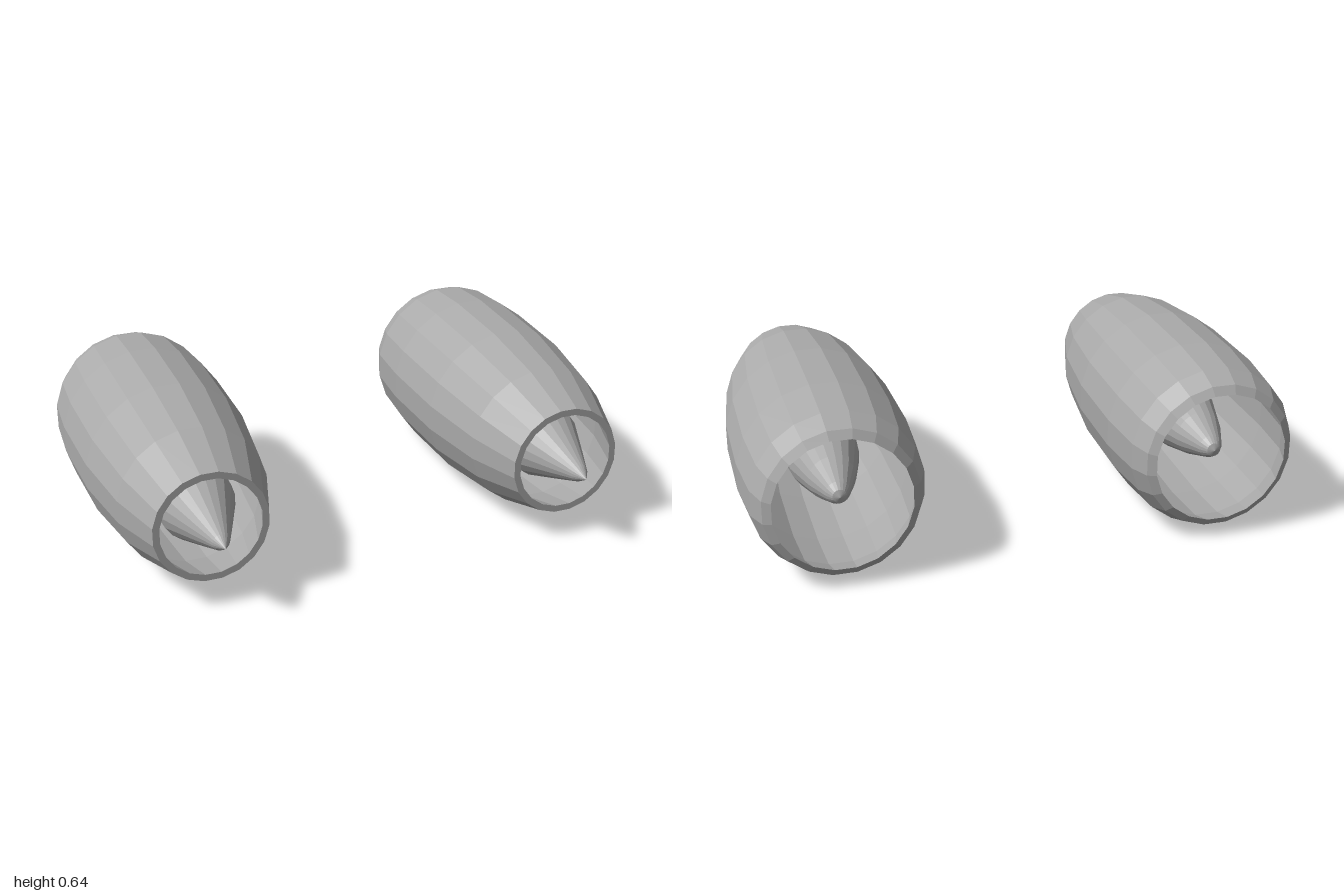
import * as THREE from 'three';

const SIDES = 20;

// Faceted solid of revolution about z, from [z, radius] points
function turned(profile, sides, material, name) {
  const points = profile.map(([z, r]) => new THREE.Vector2(r, z));
  const geometry = new THREE.LatheGeometry(points, sides, Math.PI / sides).rotateX(Math.PI / 2).toNonIndexed();
  geometry.computeVertexNormals();
  const mesh = new THREE.Mesh(geometry, material);
  mesh.name = name;
  return mesh;
}

export function createModel() {
  const model = new THREE.Group();
  model.name = 'enginePair';
  const grey = new THREE.MeshStandardMaterial({ color: 0xaaaaaa });
  grey.name = 'metal grey';

  // Hollow casing: outside from the rear lip forward, then back along the inner wall
  const casing = [
    [-0.66, 0.245], [-0.64, 0.275], [-0.56, 0.305], [-0.35, 0.322], [-0.02, 0.316], [0.28, 0.277], [0.5, 0.21],
    [0.5, 0.185], [0.28, 0.25], [-0.02, 0.288], [-0.35, 0.293], [-0.56, 0.277], [-0.66, 0.245],
  ];
  // Central spindle: blunt at the rear, pointed at the front
  const spindle = [
    [-0.6, 0], [-0.59, 0.025], [-0.56, 0.043], [-0.45, 0.085], [-0.3, 0.125], [-0.1, 0.143],
    [0.2, 0.143], [0.34, 0.137], [0.5, 0.075], [0.61, 0.031], [0.66, 0],
  ];

  for (const side of [-1, 1]) {
    const engine = new THREE.Group();
    engine.name = side > 0 ? 'leftEngine' : 'rightEngine';
    engine.add(turned(casing, SIDES, grey, 'casing'), turned(spindle, SIDES, grey, 'spindle'));
    engine.position.set(side * 0.68, 0.322, 0);
    model.add(engine);
  }
  return model;
}
